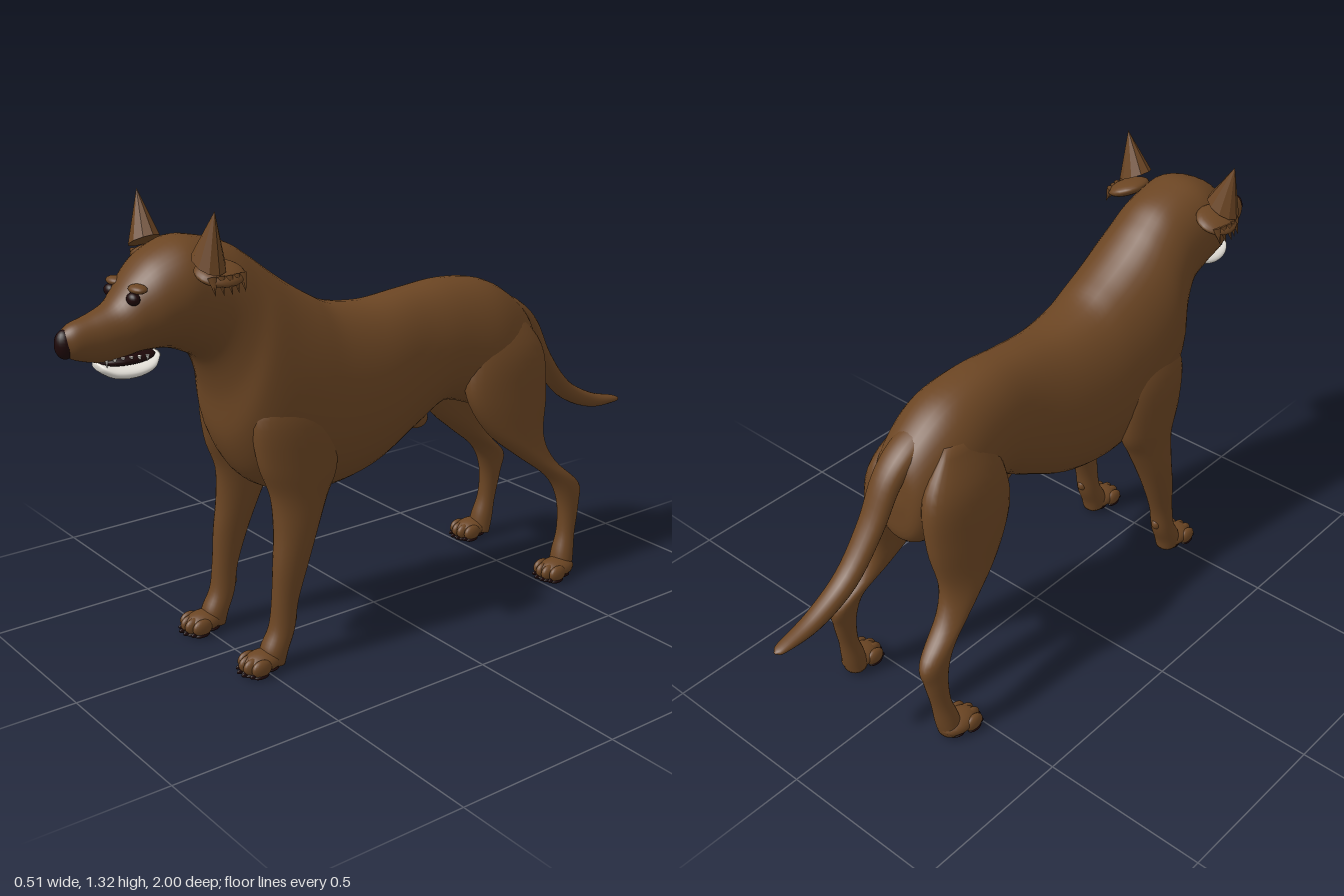
import * as THREE from 'three';
import { ConvexGeometry } from 'three/addons/geometries/ConvexGeometry.js';

const mat = (name, color) => {
  const m = new THREE.MeshStandardMaterial({ color });
  m.name = name;
  return m;
};

// Smooth skin over oval sections: [zA, yA, zB, yB, halfWidth, centreX]
// A and B are opposite ends of each oval in the side plane.
function loft(sections, side = 1, n = 28, per = 5) {
  const V = (x, y, z) => new THREE.Vector3(x, y, z);
  const curve = (f) => new THREE.CatmullRomCurve3(sections.map(f), false, 'catmullrom', 0.5);
  const a = curve((s) => V((s[5] ?? 0.01) * side, s[1], s[0]));
  const b = curve((s) => V(s[4], s[3], s[2]));
  const steps = (sections.length - 1) * per;
  const pos = [], idx = [];
  for (let i = 0; i <= steps; i++) {
    const A = a.getPoint(i / steps), B = b.getPoint(i / steps);
    for (let j = 0; j < n; j++) {
      const t = (j / n) * Math.PI * 2, c = Math.cos(t), s = Math.sin(t);
      const k = Math.sign(s) * Math.abs(s) ** 0.9;
      pos.push(A.x + B.x * k, (A.y + B.y) / 2 + ((A.y - B.y) / 2) * c, (A.z + B.z) / 2 + ((A.z - B.z) / 2) * c);
    }
    if (i < steps) for (let j = 0; j < n; j++) {
      const p = i * n + j, q = i * n + ((j + 1) % n);
      idx.push(p, p + n, q + n, p, q + n, q);
    }
  }
  // end caps
  for (const [i, flip] of [[0, false], [steps, true]]) {
    const A = a.getPoint(i / steps), B = b.getPoint(i / steps), c = pos.length / 3;
    pos.push(A.x, (A.y + B.y) / 2, (A.z + B.z) / 2);
    for (let j = 0; j < n; j++) {
      const p = i * n + j, q = i * n + ((j + 1) % n);
      flip ? idx.push(c, q, p) : idx.push(c, p, q);
    }
  }
  const g = new THREE.BufferGeometry();
  g.setAttribute('position', new THREE.Float32BufferAttribute(pos, 3));
  g.setIndex(idx);
  g.computeVertexNormals();
  return g;
}

export function createModel() {
  const root = new THREE.Group();
  root.name = 'dog';
  const coat = mat('brown coat', 0x6b4523);
  const dark = mat('dark skin', 0x1e0809);
  const white = mat('white jaw', 0xe6e2da);

  const add = (name, geo, material, parent = root) => {
    const m = new THREE.Mesh(geo, material);
    m.name = name;
    parent.add(m);
    return m;
  };
  const blob = (name, material, p, r, parent = root) => {
    const m = add(name, new THREE.SphereGeometry(1, 20, 14), material, parent);
    m.position.set(...p);
    m.scale.set(...r);
    return m;
  };

  // Rump, trunk, neck and head in one skin
  add('body', loft([
    [-0.568, 0.74, -0.57, 0.69, 0.03],
    [-0.55, 0.83, -0.555, 0.58, 0.09],
    [-0.48, 0.905, -0.47, 0.55, 0.125],
    [-0.38, 0.96, -0.36, 0.57, 0.142],
    [-0.24, 0.98, -0.22, 0.61, 0.132],
    [-0.1, 0.972, -0.1, 0.55, 0.132],
    [0.05, 0.96, 0.05, 0.475, 0.158],
    [0.18, 0.98, 0.2, 0.445, 0.174],
    [0.26, 1.02, 0.34, 0.46, 0.18],
    [0.33, 1.065, 0.46, 0.52, 0.182, 0.005],
    [0.39, 1.11, 0.53, 0.64, 0.175, 0],
    [0.44, 1.15, 0.55, 0.78, 0.155, -0.003],
    [0.5, 1.19, 0.59, 0.88, 0.142, -0.003],
    [0.58, 1.215, 0.65, 0.92, 0.14, -0.003],
    [0.65, 1.222, 0.7, 0.938, 0.138, -0.002],
    [0.73, 1.19, 0.74, 0.942, 0.122, 0],
    [0.79, 1.14, 0.78, 0.942, 0.095, 0.005],
    [0.84, 1.085, 0.82, 0.936, 0.072, 0.01],
    [0.9, 1.06, 0.88, 0.932, 0.056, 0.015],
    [0.955, 1.045, 0.95, 0.95, 0.042, 0.017],
    [0.985, 1.025, 0.98, 0.97, 0.022, 0.018],
  ], 1, 40), coat);

  add('tail', loft([
    [-1, 0.463, -1, 0.457, 0.005, 0.022],
    [-0.975, 0.474, -0.975, 0.452, 0.02, 0.022],
    [-0.87, 0.505, -0.86, 0.458, 0.03, 0.022],
    [-0.755, 0.572, -0.73, 0.52, 0.037, 0.022],
    [-0.665, 0.685, -0.625, 0.645, 0.042, 0.02],
    [-0.605, 0.8, -0.555, 0.76, 0.047, 0.018],
    [-0.535, 0.87, -0.49, 0.82, 0.052, 0.015],
    [-0.44, 0.92, -0.42, 0.84, 0.05, 0.012],
  ], 1, 20), coat);
  blob('belly bump', coat, [0.01, 0.572, -0.14], [0.026, 0.036, 0.055]).rotation.x = -0.4;

  const foreLeg = [
    [0.44, 0.84, 0.32, 0.84, 0.02, 0.12],
    [0.5, 0.73, 0.25, 0.71, 0.055, 0.132],
    [0.49, 0.6, 0.24, 0.56, 0.057, 0.137],
    [0.455, 0.5, 0.28, 0.47, 0.052, 0.14],
    [0.45, 0.4, 0.32, 0.38, 0.048, 0.148],
    [0.46, 0.3, 0.355, 0.29, 0.04, 0.154],
    [0.467, 0.2, 0.39, 0.19, 0.034, 0.155],
    [0.478, 0.12, 0.405, 0.11, 0.036, 0.155],
    [0.505, 0.065, 0.43, 0.05, 0.04, 0.155],
    [0.51, 0.025, 0.44, 0.012, 0.036, 0.155],
  ];
  const hindLeg = [
    [-0.32, 0.87, -0.46, 0.87, 0.02, 0.085],
    [-0.27, 0.75, -0.555, 0.75, 0.06, 0.103],
    [-0.262, 0.63, -0.565, 0.6, 0.06, 0.12],
    [-0.33, 0.51, -0.545, 0.47, 0.05, 0.137],
    [-0.435, 0.42, -0.58, 0.38, 0.042, 0.155],
    [-0.54, 0.335, -0.67, 0.29, 0.034, 0.175],
    [-0.585, 0.25, -0.665, 0.22, 0.029, 0.183],
    [-0.59, 0.15, -0.645, 0.13, 0.029, 0.188],
    [-0.57, 0.08, -0.635, 0.06, 0.036, 0.192],
    [-0.56, 0.025, -0.625, 0.012, 0.038, 0.195],
  ];

  // Paw with four toes, claws and dark pads
  const paw = (x, z) => {
    const g = new THREE.Group();
    g.name = 'paw';
    g.position.set(x, 0, z);
    root.add(g);
    blob('instep', coat, [0, 0.034, 0], [0.044, 0.03, 0.062], g);
    blob('heelPad', dark, [0, 0.008, -0.015], [0.032, 0.008, 0.032], g);
    for (let i = 0; i < 4; i++) {
      const tx = (i - 1.5) * 0.024, tz = 0.046 - 0.012 * Math.abs(i - 1.5);
      blob('toe', coat, [tx, 0.03, tz], [0.0155, 0.025, 0.032], g);
      blob('toePad', dark, [tx, 0.008, tz + 0.002], [0.013, 0.008, 0.025], g);
      blob('claw', dark, [tx, 0.014, tz + 0.028], [0.005, 0.007, 0.011], g);
    }
  };

  for (const s of [1, -1]) {
    const label = s > 0 ? 'left' : 'right';
    add(label + ' foreleg', loft(foreLeg, s), coat);
    add(label + ' hind leg', loft(hindLeg, s), coat);
    blob('wrist pad', coat, [0.155 * s, 0.135, 0.41], [0.016, 0.02, 0.018]);
    paw(0.155 * s, 0.505);
    paw(0.203 * s, -0.568);

    // Upright pointed ear
    const pts = [new THREE.Vector3(0.194 * s, 1.315, 0.638)];
    for (let i = 0; i < 10; i++) {
      const t = (i / 10) * Math.PI * 2, c = Math.cos(t);
      pts.push(new THREE.Vector3((0.162 + 0.05 * c) * s, 1.18 - 0.024 * c, 0.64 + 0.042 * Math.sin(t)));
    }
    add(label + ' pointed ear', new ConvexGeometry(pts), coat);

    // Folded flap below it with a ragged edge
    const flap = blob(label + ' ear flap', coat, [0.163 * s, 1.15, 0.61], [0.06, 0.022, 0.068]);
    flap.rotation.z = -0.35 * s;
    for (let i = 0; i < 5; i++) {
      const tuft = add('ear tuft', new THREE.ConeGeometry(0.013, 0.05, 6), coat);
      tuft.position.set((0.212 - 0.004 * Math.abs(i - 2)) * s, 1.127, 0.565 + i * 0.022);
      tuft.rotation.z = Math.PI + 0.35 * s;
    }

    // Eye under a low brow
    blob(label + ' eye', dark, [0.013 + 0.059 * s, 1.095, 0.807], [0.022, 0.017, 0.016]);
    blob(label + ' brow', coat, [0.012 + 0.058 * s, 1.118, 0.792], [0.032, 0.012, 0.022]);

    // Upper teeth
    for (let i = 0; i < 6; i++) {
      const tooth = add('tooth', new THREE.ConeGeometry(0.006, i === 5 ? 0.028 : 0.018, 6), white);
      tooth.position.set(0.012 + (0.052 - i * 0.004) * s, 0.934, 0.77 + i * 0.021);
      tooth.rotation.x = Math.PI;
    }
  }

  // Muzzle tip and open mouth
  blob('nose', dark, [0.018, 0.995, 0.974], [0.027, 0.038, 0.026]);
  blob('mouth lining', dark, [0.011, 0.932, 0.805], [0.053, 0.018, 0.082]);
  add('lower jaw', loft([
    [0.715, 0.935, 0.725, 0.915, 0.03],
    [0.75, 0.927, 0.75, 0.892, 0.057],
    [0.8, 0.92, 0.8, 0.88, 0.063],
    [0.85, 0.922, 0.85, 0.885, 0.055],
    [0.88, 0.93, 0.882, 0.905, 0.035],
    [0.89, 0.93, 0.89, 0.92, 0.01],
  ]), white);

  return root;
}
